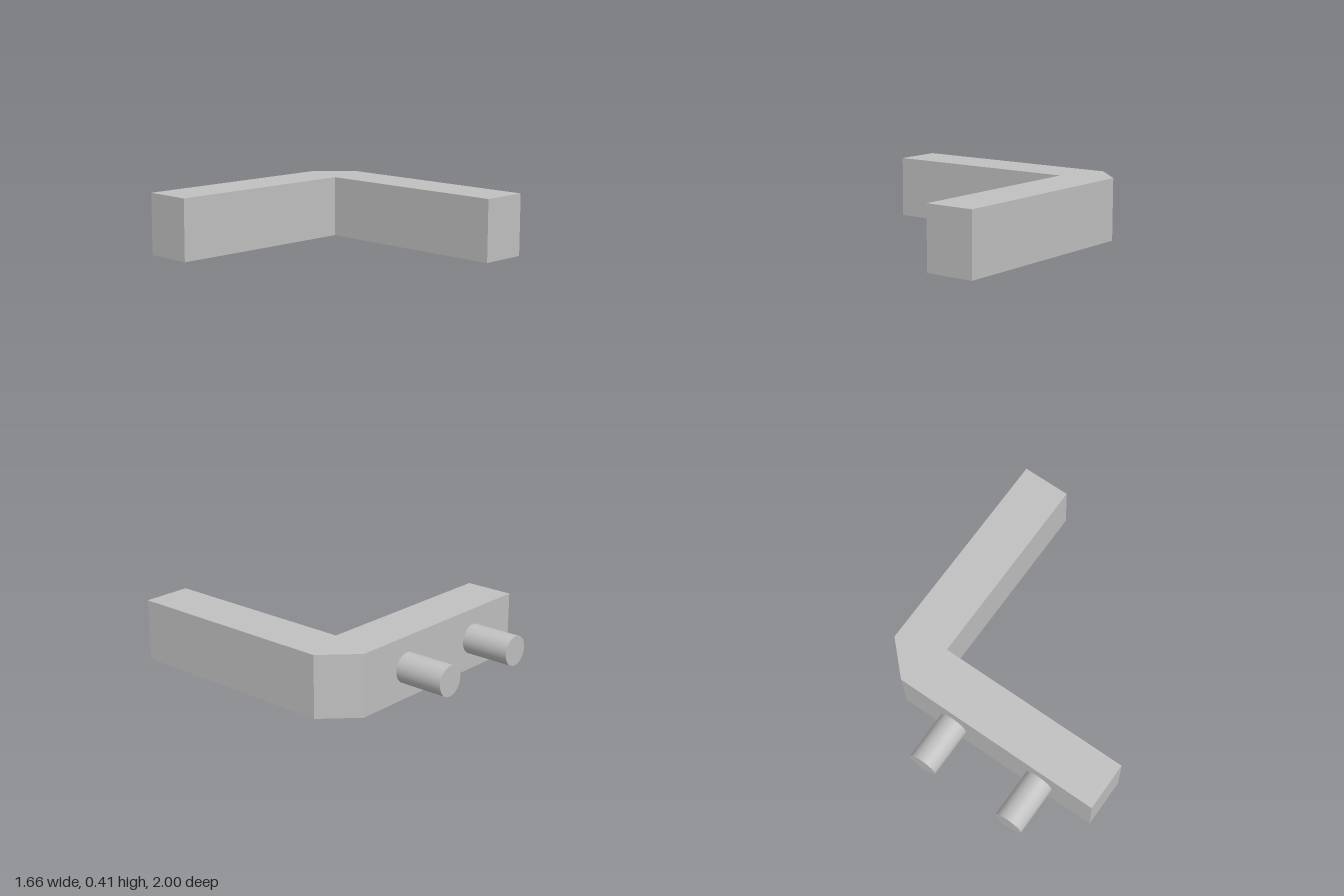
import * as THREE from 'three';

const HEIGHT = 0.405;
const BACK = -0.667; // z of the bar's rear face

export function createModel() {
  const group = new THREE.Group();
  const grey = new THREE.MeshStandardMaterial({ color: 0xc0c0c0 });
  grey.name = 'light grey';

  // L-shaped bar with a chamfered outer corner, drawn as [x, z] in plan
  const outline = [
    [-0.83, BACK], [0.62, BACK], [0.828, -0.459], [0.828, 1],
    [0.502, 1], [0.502, -0.34], [-0.83, -0.34],
  ].map(([x, z]) => new THREE.Vector2(x, -z));
  const barGeometry = new THREE.ExtrudeGeometry(new THREE.Shape(outline), {
    depth: HEIGHT, bevelEnabled: false,
  });
  barGeometry.rotateX(-Math.PI / 2);
  const bar = new THREE.Mesh(barGeometry, grey);
  bar.name = 'angledBar';
  group.add(bar);

  // Two round pegs standing out of the rear face
  const length = BACK + 1;
  const pegGeometry = new THREE.CylinderGeometry(0.098, 0.098, length, 48);
  pegGeometry.rotateX(Math.PI / 2);
  [['rightPeg', -0.437], ['leftPeg', 0.225]].forEach(([name, x]) => {
    const peg = new THREE.Mesh(pegGeometry, grey);
    peg.name = name;
    peg.position.set(x, HEIGHT / 2, -1 + length / 2);
    group.add(peg);
  });

  return group;
}
